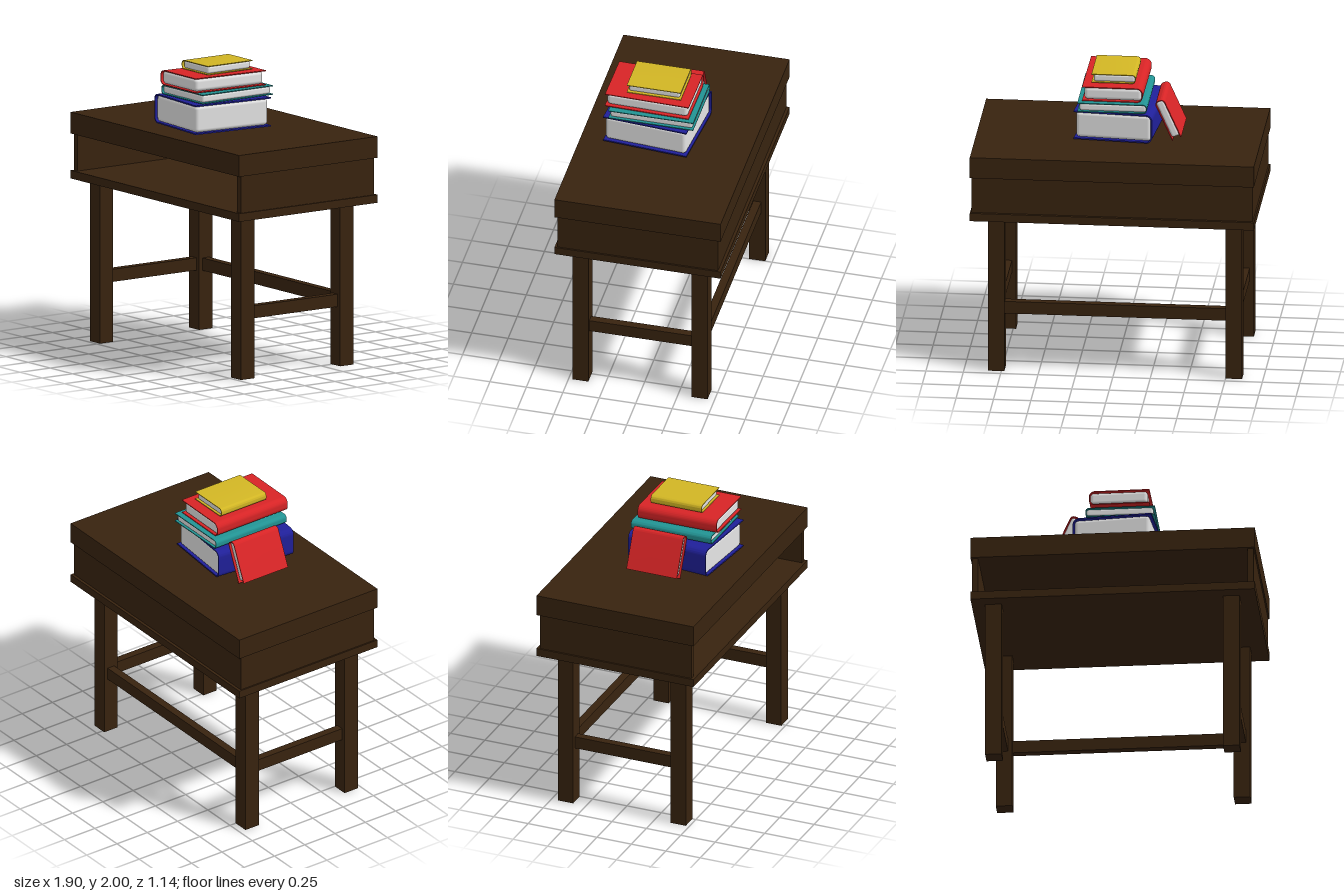
import * as THREE from 'three';
import { toCreasedNormals } from 'three/addons/utils/BufferGeometryUtils.js';
import { RoundedBoxGeometry } from 'three/addons/geometries/RoundedBoxGeometry.js';

function material(name, color) {
  const m = new THREE.MeshStandardMaterial({ color });
  m.name = name;
  return m;
}

// Box given by its lower and upper corners
function slab(name, mat, [x0, y0, z0], [x1, y1, z1]) {
  const mesh = new THREE.Mesh(new THREE.BoxGeometry(x1 - x0, y1 - y0, z1 - z0), mat);
  mesh.name = name;
  mesh.position.set((x0 + x1) / 2, (y0 + y1) / 2, (z0 + z1) / 2);
  return mesh;
}

// Book centred on its origin: wrap-around cover with its spine at -x, page block inside
function book(name, coverMat, pageMat, w, h, d, t) {
  const group = new THREE.Group();
  group.name = name;
  const x = w / 2, y = h / 2, r = Math.min(0.4 * h, 0.04), ri = r - t;

  const s = new THREE.Shape();
  s.moveTo(x, -y);
  s.lineTo(x, -y + t);
  s.lineTo(-x + r, -y + t);
  s.absarc(-x + r, -y + r, ri, -Math.PI / 2, -Math.PI, true);
  s.lineTo(-x + t, y - r);
  s.absarc(-x + r, y - r, ri, Math.PI, Math.PI / 2, true);
  s.lineTo(x, y - t);
  s.lineTo(x, y);
  s.lineTo(-x + r, y);
  s.absarc(-x + r, y - r, r, Math.PI / 2, Math.PI, false);
  s.lineTo(-x, -y + r);
  s.absarc(-x + r, -y + r, r, Math.PI, Math.PI * 1.5, false);
  s.closePath();
  const geo = new THREE.ExtrudeGeometry(s, { depth: d, bevelEnabled: false, curveSegments: 8 });
  geo.translate(0, 0, -d / 2);
  const cover = new THREE.Mesh(toCreasedNormals(geo, 0.6), coverMat);
  cover.name = 'cover';

  const pw = w - t - 0.013, ph = h - 2 * t;
  const pages = new THREE.Mesh(new RoundedBoxGeometry(pw, ph, d - 0.02, 4, Math.min(0.3 * ph, 0.025)), pageMat);
  pages.name = 'pages';
  pages.position.x = -x + t + pw / 2;
  group.add(cover, pages);
  return group;
}

export function createModel() {
  const model = new THREE.Group();
  model.name = 'deskWithBooks';
  const wood = material('darkWood', 0x38230f);
  const paper = material('paper', 0xe4e4e4);
  const blue = material('blueCover', 0x20209a);
  const teal = material('tealCover', 0x229494);
  const red = material('redCover', 0xd82426);
  const yellow = material('yellowCover', 0xd2b624);

  // Desk box, open at the front
  const desk = new THREE.Group();
  desk.name = 'desk';
  desk.add(
    slab('deskTop', wood, [-0.95, 1.405, -0.57], [0.95, 1.55, 0.57]),
    slab('shelfFloor', wood, [-0.95, 1.1, -0.57], [0.95, 1.155, 0.57]),
    slab('backPanel', wood, [-0.9, 1.155, -0.55], [0.9, 1.405, -0.51]),
    slab('leftWall', wood, [0.9, 1.155, -0.55], [0.94, 1.405, 0.55]),
    slab('rightWall', wood, [-0.94, 1.155, -0.55], [-0.9, 1.405, 0.55]),
  );

  // Legs and the rails between them
  const legX = [-0.805, 0.785], legZ = [-0.398, 0.42], half = 0.055, rail = 0.027;
  for (const x of legX) {
    for (const z of legZ) {
      desk.add(slab('leg', wood, [x - half, 0, z - half], [x + half, 1.1, z + half]));
    }
    desk.add(slab('sideRail', wood, [x - rail, 0.4, legZ[0] + half], [x + rail, 0.485, legZ[1] - half]));
  }
  desk.add(slab('backRail', wood, [legX[0] + half, 0.4, legZ[0] - rail], [legX[1] - half, 0.485, legZ[0] + rail]));
  model.add(desk);

  // Books: name, cover, [width, thickness, depth, cover thickness], position, rotation
  const books = [
    ['blueBook', blue, [0.53, 0.198, 0.585, 0.009], [0.005, 1.66, 0.098], [0, -0.085, 0]],
    ['tealBook', teal, [0.465, 0.063, 0.582, 0.006], [0.033, 1.799, 0.08], [0, 0, 0]],
    ['redBook', red, [0.405, 0.1, 0.575, 0.006], [0.032, 1.886, 0.113], [-0.012, -0.01, 0]],
    ['yellowBook', yellow, [0.295, 0.06, 0.37, 0.005], [0.033, 1.97, 0.08], [0, 0, 0]],
    ['leaningBook', red, [0.29, 0.068, 0.365, 0.006], [-0.333, 1.708, 0.036], [0, 0, -1.995]],
  ];
  for (const [name, cover, size, position, rotation] of books) {
    const b = book(name, cover, paper, ...size);
    b.position.set(...position);
    b.rotation.set(...rotation);
    model.add(b);
  }
  return model;
}
